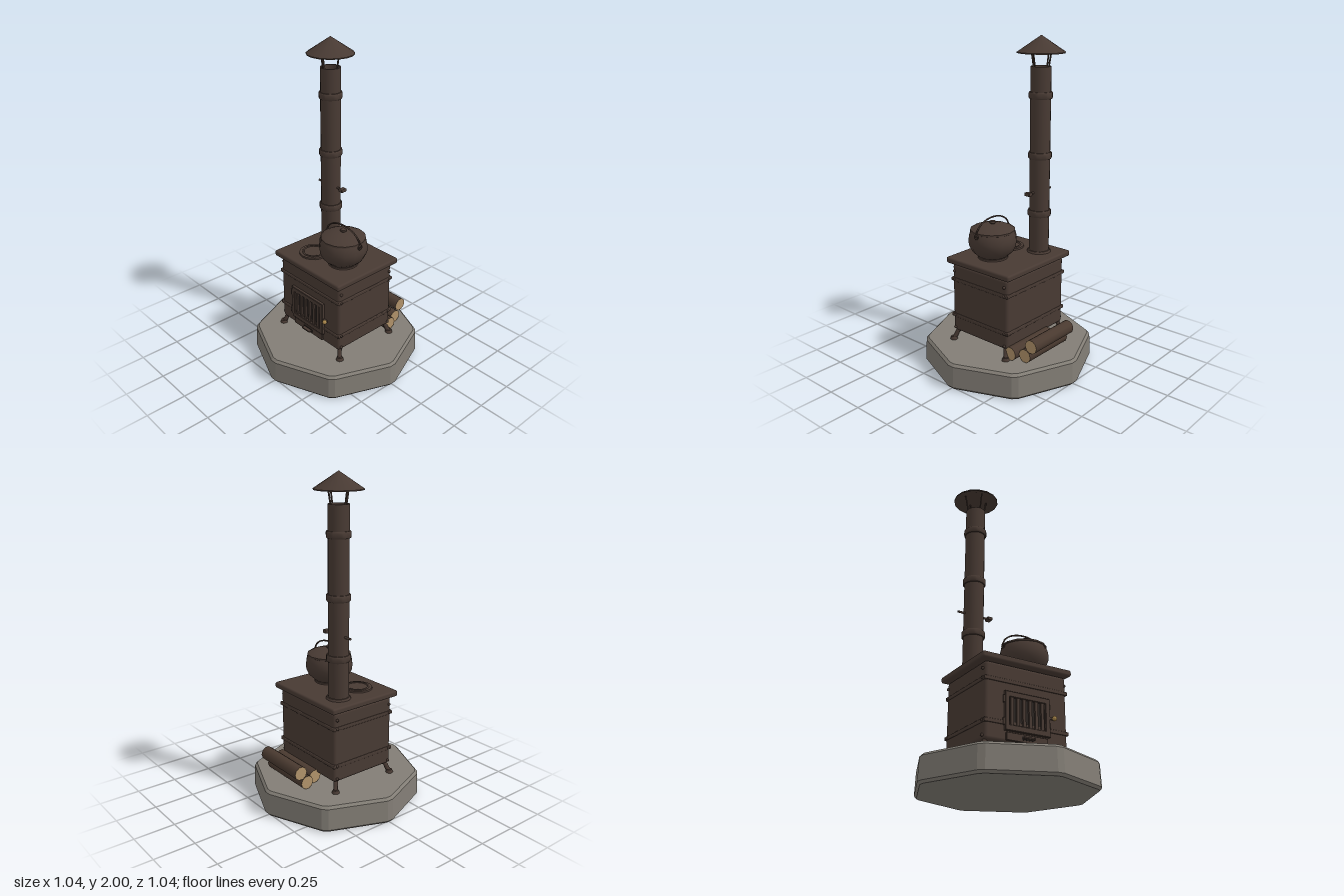
import * as THREE from 'three';
import { toCreasedNormals } from 'three/addons/utils/BufferGeometryUtils.js';
import { RoundedBoxGeometry } from 'three/addons/geometries/RoundedBoxGeometry.js';

const material = (name, color, flatShading = false) => {
  const m = new THREE.MeshStandardMaterial({ color, flatShading });
  m.name = name;
  return m;
};

export function createModel() {
  const iron = material('castIron', 0x483a33);
  const soot = material('sootBlack', 0x2a2421);
  const stone = material('stone', 0x827d75, true);
  const brass = material('brass', 0xa8854a);
  const bark = material('bark', 0x4a3a30);
  const wood = material('cutWood', 0xb0926a);

  const model = new THREE.Group();
  model.name = 'woodStove';
  const group = (name) => {
    const g = new THREE.Group();
    g.name = name;
    model.add(g);
    return g;
  };
  const add = (parent, name, geometry, mat, x = 0, y = 0, z = 0) => {
    const mesh = new THREE.Mesh(geometry, mat);
    mesh.name = name;
    mesh.position.set(x, y, z);
    parent.add(mesh);
    return mesh;
  };
  const box = (w, h, d) => new THREE.BoxGeometry(w, h, d);
  const rounded = (w, h, d, r) => new RoundedBoxGeometry(w, h, d, 2, r);
  const lathe = (points, sides = 16, crease = 0.6) => toCreasedNormals(
    new THREE.LatheGeometry(points.map(([r, y]) => new THREE.Vector2(r, y)), sides), crease);
  const tube = (points, radius, segments = 8) => new THREE.TubeGeometry(
    new THREE.CatmullRomCurve3(points.map((p) => new THREE.Vector3(...p))), segments, radius, 6);

  // Octagonal stone plinth with clipped corners, bevelled rims and a slight taper
  const outline = [];
  for (let i = 0; i < 8; i++) {
    for (const side of [-1, 1]) {
      const a = i * Math.PI / 4 + side * 0.035;
      outline.push(new THREE.Vector2(Math.cos(a) * 0.506, Math.sin(a) * 0.506));
    }
  }
  const plinth = new THREE.ExtrudeGeometry(new THREE.Shape(outline), {
    depth: 0.13, bevelThickness: 0.015, bevelSize: 0.014, bevelSegments: 1,
  });
  plinth.rotateX(-Math.PI / 2).translate(0, 0.015, 0);
  const pos = plinth.attributes.position;
  for (let i = 0; i < pos.count; i++) {
    const s = 1 - pos.getY(i) * 0.08;
    pos.setXYZ(i, pos.getX(i) * s, pos.getY(i), pos.getZ(i) * s);
  }
  add(model, 'stonePlinth', plinth, stone);

  // Firebox with cook top and banding
  const stove = group('firebox');
  add(stove, 'stoveBody', rounded(0.53, 0.44, 0.44, 0.02), iron, 0, 0.44, 0);
  add(stove, 'cookTop', rounded(0.585, 0.037, 0.497, 0.012), iron, -0.002, 0.682, -0.001);
  for (const y of [0.56, 0.325]) {
    add(stove, 'bodyBand', rounded(0.542, 0.022, 0.452, 0.005), iron, 0, y, 0);
  }

  // Rivets near each corner, on the flanks
  const rivet = new THREE.SphereGeometry(0.009, 8, 6);
  for (const y of [0.615, 0.56, 0.325, 0.244]) {
    for (const x of [-0.269, 0.269]) {
      for (const z of [-0.2, 0.2]) add(stove, 'rivet', rivet, iron, x, y, z);
    }
  }

  // Splayed legs on round feet
  const legs = group('legs');
  for (const sx of [-1, 1]) {
    for (const sz of [-1, 1]) {
      add(legs, 'leg', tube([
        [sx * 0.228, 0.235, sz * 0.172], [sx * 0.25, 0.215, sz * 0.195],
        [sx * 0.258, 0.19, sz * 0.203], [sx * 0.27, 0.165, sz * 0.213]], 0.014), iron);
      add(legs, 'foot', new THREE.CylinderGeometry(0.017, 0.024, 0.02, 10), iron,
        sx * 0.27, 0.169, sz * 0.213);
    }
  }

  // Fire door: frame with an opening, dark backing and grate bars
  const door = group('fireDoor');
  const rect = (Type, x0, y0, x1, y1) => new Type([
    new THREE.Vector2(x0, y0), new THREE.Vector2(x1, y0),
    new THREE.Vector2(x1, y1), new THREE.Vector2(x0, y1)]);
  const frame = rect(THREE.Shape, -0.145, 0.285, 0.137, 0.498);
  frame.holes.push(rect(THREE.Path, -0.125, 0.312, 0.113, 0.472));
  add(door, 'doorFrame', new THREE.ExtrudeGeometry(frame, {
    depth: 0.022, bevelThickness: 0.003, bevelSize: 0.003, bevelSegments: 1,
  }), iron, 0, 0, 0.213);
  add(door, 'fireOpening', box(0.244, 0.166, 0.006), soot, -0.006, 0.392, 0.221);
  for (let i = 0; i < 6; i++) {
    add(door, 'grateBar', box(0.019, 0.162, 0.012), iron, -0.104 + i * 0.0392, 0.392, 0.228);
  }
  for (const y of [0.33, 0.455]) {
    add(door, 'hinge', new THREE.CylinderGeometry(0.008, 0.008, 0.04, 8), iron, -0.152, y, 0.23);
  }
  add(door, 'latchArm', box(0.045, 0.012, 0.01), iron, 0.15, 0.393, 0.229);
  add(door, 'doorKnob', new THREE.SphereGeometry(0.014, 12, 8), brass, 0.165, 0.393, 0.242);

  // Ash drawer
  const drawer = group('ashDrawer');
  add(drawer, 'drawerFront', rounded(0.264, 0.044, 0.02, 0.004), iron, -0.005, 0.253, 0.221);
  add(drawer, 'drawerRecess', box(0.08, 0.02, 0.004), soot, -0.003, 0.253, 0.231);
  add(drawer, 'drawerPull', rounded(0.07, 0.01, 0.022, 0.003), iron, -0.003, 0.253, 0.243);

  // Cooking rings on the top
  const rings = group('cookingRings');
  for (const [x, z] of [[-0.107, 0.085], [0.104, 0.034]]) {
    add(rings, 'ringPlate', new THREE.CylinderGeometry(0.09, 0.092, 0.012, 20), iron, x, 0.704, z);
    const ring = add(rings, 'raisedRing', new THREE.TorusGeometry(0.067, 0.006, 6, 20), iron, x, 0.71, z);
    ring.rotation.x = Math.PI / 2;
  }

  // Stove pipe with open top and collars
  const pipe = group('stovePipe');
  pipe.position.set(-0.163, 0, -0.107);
  add(pipe, 'flue', lathe([[0.061, 0.69], [0.061, 1.825], [0.052, 1.825], [0.052, 1.7], [0, 1.7]]), iron);
  add(pipe, 'pipeFlange', new THREE.CylinderGeometry(0.068, 0.075, 0.014, 16), iron, 0, 0.706, 0);
  for (const y of [0.95, 1.305, 1.66]) {
    add(pipe, 'pipeCollar', lathe([[0.06, -0.02], [0.067, -0.02], [0.071, -0.014],
      [0.071, 0.014], [0.067, 0.02], [0.06, 0.02]]), iron, 0, y, 0);
  }
  for (let i = 0; i < 4; i++) {
    const c = Math.cos(i * Math.PI / 2), s = Math.sin(i * Math.PI / 2);
    add(pipe, 'capStrut', tube([[c * 0.054, 1.81, s * 0.054], [c * 0.064, 1.865, s * 0.064],
      [c * 0.076, 1.925, s * 0.076]], 0.005, 3), iron);
  }
  add(pipe, 'rainCap', lathe([[0, 1.985], [0.132, 1.9], [0.141, 1.9], [0.141, 1.906], [0, 2]]), iron);

  // Damper rod through the pipe
  const rod = add(pipe, 'damperRod', new THREE.CylinderGeometry(0.007, 0.007, 0.21, 8), iron, -0.002, 1.083, 0);
  rod.rotation.z = Math.PI / 2;
  add(pipe, 'damperHandle', rounded(0.032, 0.022, 0.04, 0.005), iron, 0.106, 1.083, 0);

  // Lidded pot with a bail handle
  const pot = group('cookingPot');
  pot.position.set(0.104, 0, 0.034);
  add(pot, 'potBody', lathe([[0, 0.715], [0.092, 0.715], [0.125, 0.745], [0.144, 0.785],
    [0.147, 0.815], [0.142, 0.85], [0.132, 0.872], [0, 0.872]], 14, 0.9), iron);
  add(pot, 'potLid', lathe([[0.13, 0.866], [0.137, 0.87], [0.136, 0.88], [0.105, 0.895],
    [0.055, 0.908], [0, 0.912]], 14, 0.9), iron);
  add(pot, 'lidKnob', lathe([[0.01, 0.9], [0.012, 0.912], [0.02, 0.918], [0.018, 0.928],
    [0, 0.931]], 10, 0.9), iron);
  const bail = [];
  for (let i = 0; i <= 8; i++) {
    const a = Math.PI * i / 8;
    bail.push([Math.cos(a) * 0.146, 0.862 + Math.sin(a) * 0.091, 0]);
  }
  add(pot, 'bailHandle', tube(bail, 0.005, 20), iron);
  for (const x of [-0.143, 0.143]) {
    const ear = add(pot, 'handleEar', new THREE.TorusGeometry(0.013, 0.005, 6, 10), iron, x, 0.862, 0);
    ear.rotation.y = Math.PI / 2;
  }

  // Stacked firewood behind the stove: bark sides, pale cut ends
  const logs = group('firewood');
  const logGeometry = new THREE.CylinderGeometry(0.042, 0.042, 0.357, 10);
  for (const [x, y, z] of [[0.08, 0.205, -0.236], [0.045, 0.205, -0.318], [0.045, 0.277, -0.363]]) {
    const log = add(logs, 'log', logGeometry, [bark, wood, wood], x, y, z);
    log.rotation.z = Math.PI / 2;
  }
  return model;
}
